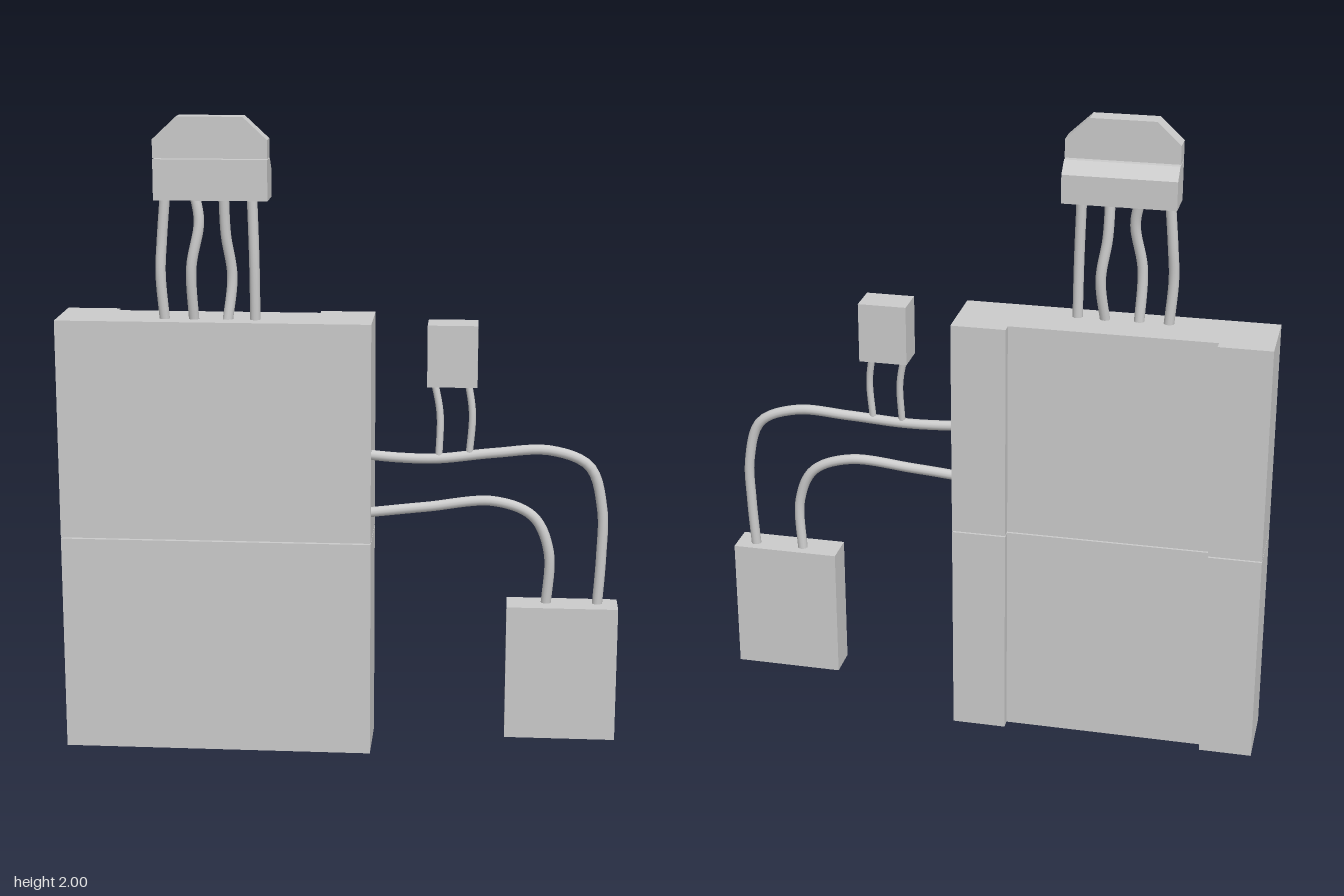
import * as THREE from 'three';

const material = new THREE.MeshStandardMaterial({ color: 0xcccccc });

function addMesh(parent, name, geometry, x = 0, y = 0, z = 0) {
  const mesh = new THREE.Mesh(geometry, material);
  mesh.name = name;
  mesh.position.set(x, y, z);
  parent.add(mesh);
  return mesh;
}

// Straight extrusion of a closed polygon along +z
function prism(points, depth) {
  const shape = new THREE.Shape(points.map(([x, y]) => new THREE.Vector2(x, y)));
  return new THREE.ExtrudeGeometry(shape, { depth, bevelEnabled: false });
}

// Smooth round cable through a few points
function addWire(parent, name, points, radius) {
  const curve = new THREE.CatmullRomCurve3(points.map(p => new THREE.Vector3(...p)));
  addMesh(parent, name, new THREE.TubeGeometry(curve, 48, radius, 12));
}

export function createModel() {
  const model = new THREE.Group();
  model.name = 'wiredPanel';

  // Two stacked case halves with a wide recess down the back
  const caseOutline = [
    [-0.87, -0.11], [0.1, -0.11], [0.1, 0.115], [-0.07, 0.115],
    [-0.07, 0.083], [-0.705, 0.083], [-0.705, 0.115], [-0.87, 0.115],
  ];
  const halfHeight = 0.688;
  ['lowerCase', 'upperCase'].forEach((name, i) => {
    const geometry = prism(caseOutline, halfHeight).rotateX(-Math.PI / 2);
    addMesh(model, name, geometry, 0, i * (halfHeight + 0.004), 0);
  });

  // Top connector: chamfered base with a clipped-corner plate at the front
  const connector = new THREE.Group();
  connector.name = 'topConnector';
  model.add(connector);
  const baseProfile = [
    [-0.11, 1.75], [0.005, 1.75], [0.005, 1.838], [-0.035, 1.873], [-0.11, 1.873],
  ];
  addMesh(connector, 'connectorBase', prism(baseProfile, 0.345).rotateY(Math.PI / 2), -0.557);
  const plateOutline = [
    [-0.557, 1.876], [-0.212, 1.876], [-0.212, 1.932],
    [-0.285, 2], [-0.484, 2], [-0.557, 1.932],
  ];
  addMesh(connector, 'connectorPlate', prism(plateOutline, 0.065), 0, 0, 0.045);

  // Four short wires between the case and the connector
  [
    [[-0.537, 1.36, 0.045], [-0.548, 1.52, 0.05], [-0.543, 1.62, 0.045], [-0.53, 1.77, 0.045]],
    [[-0.447, 1.36, 0.045], [-0.451, 1.54, 0.065], [-0.427, 1.68, 0.055], [-0.442, 1.77, 0.045]],
    [[-0.346, 1.36, 0.045], [-0.331, 1.51, 0.025], [-0.348, 1.64, 0.035], [-0.352, 1.77, 0.045]],
    [[-0.259, 1.36, 0.045], [-0.26, 1.56, 0.05], [-0.266, 1.77, 0.045]],
  ].forEach((points, i) => addWire(model, `connectorWire${i + 1}`, points, 0.016));

  // Side boxes
  addMesh(model, 'smallBox', new THREE.BoxGeometry(0.152, 0.19, 0.106), 0.346, 1.285, 0.056);
  addMesh(model, 'largeBox', new THREE.BoxGeometry(0.344, 0.428, 0.106), 0.695, 0.282, 0.056);

  // Long cables from the case to the large box
  addWire(model, 'upperCable', [
    [0.08, 0.97, 0.08], [0.18, 0.962, 0.08], [0.3, 0.96, 0.077], [0.48, 0.977, 0.06],
    [0.65, 0.985, 0.05], [0.77, 0.935, 0.044], [0.812, 0.8, 0.042],
    [0.813, 0.65, 0.044], [0.803, 0.47, 0.045],
  ], 0.016);
  addWire(model, 'lowerCable', [
    [0.08, 0.785, 0.085], [0.27, 0.805, 0.075], [0.48, 0.823, 0.06],
    [0.6, 0.775, 0.055], [0.65, 0.665, 0.055], [0.644, 0.47, 0.045],
  ], 0.016);

  // Thin wires joining the small box to the upper cable
  [
    [[0.288, 1.21, 0.055], [0.309, 1.1, 0.065], [0.307, 0.96, 0.077]],
    [[0.392, 1.21, 0.055], [0.408, 1.1, 0.065], [0.4, 0.97, 0.068]],
  ].forEach((points, i) => addWire(model, `thinWire${i + 1}`, points, 0.011));

  return model;
}
